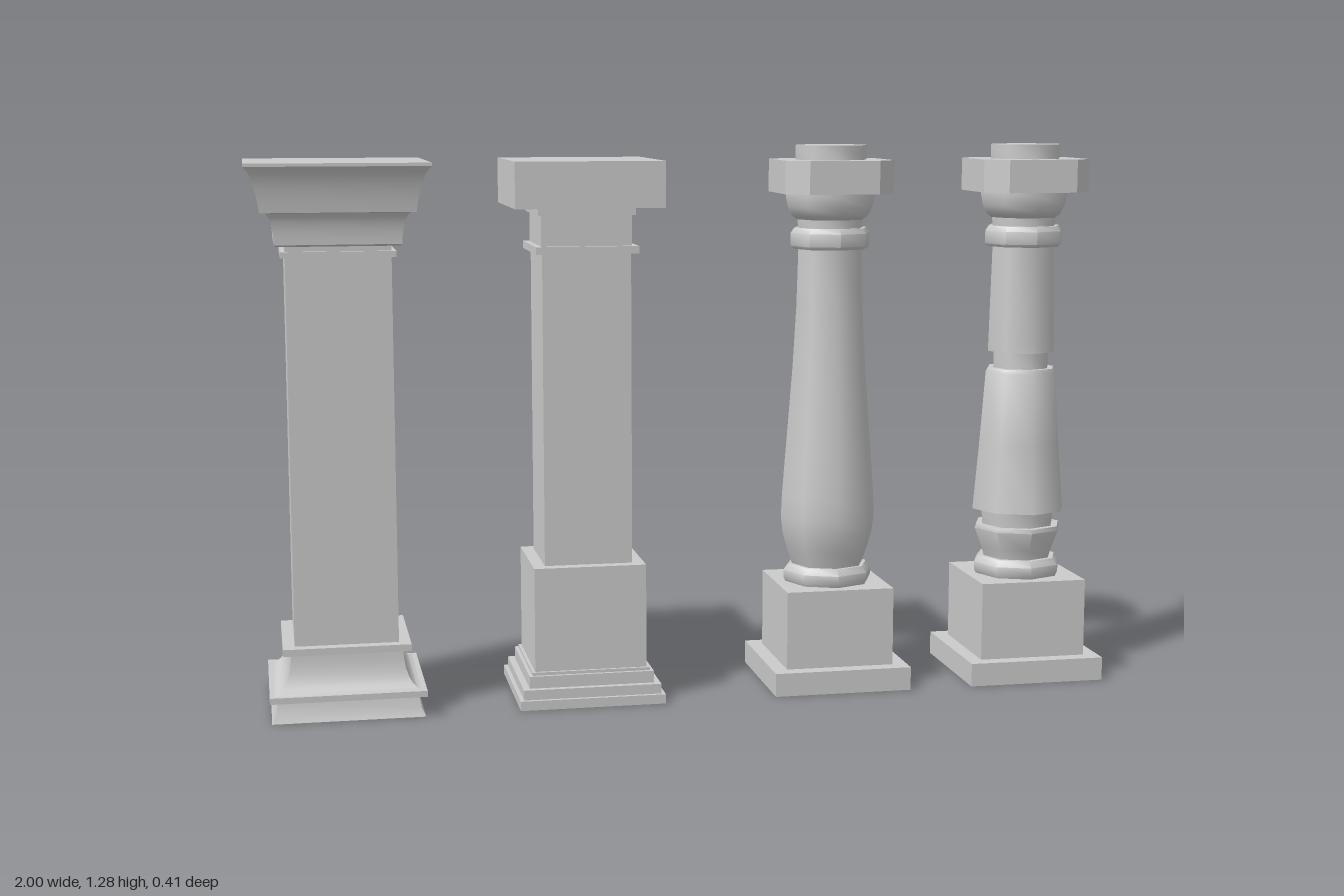
import * as THREE from 'three';
import { toCreasedNormals } from 'three/addons/utils/BufferGeometryUtils.js';

const material = new THREE.MeshStandardMaterial({ color: 0xcccccc });

function addMesh(parent, name, geometry, y = 0) {
  const mesh = new THREE.Mesh(geometry, material);
  mesh.name = name;
  mesh.position.y = y;
  parent.add(mesh);
}

// Closed solid swept from [half width, height] pairs, listed bottom to top.
function turned(parent, name, profile, sides) {
  const square = sides === 4;
  const k = square ? Math.SQRT2 : 1;
  const first = profile[0], last = profile[profile.length - 1];
  const points = [[0, first[1]], ...profile, [0, last[1]]].map(([r, y]) => new THREE.Vector2(r * k, y));
  const lathe = new THREE.LatheGeometry(points, sides, square ? Math.PI / 4 : 0);
  addMesh(parent, name, toCreasedNormals(lathe, square ? 0.5 : 0.9));
}

function block(parent, name, half, y0, y1) {
  addMesh(parent, name, new THREE.BoxGeometry(half * 2, y1 - y0, half * 2), (y0 + y1) / 2);
}

// Concave quarter curve between two profile points, vertical at the narrow end.
function cove(r0, y0, r1, y1, steps = 6) {
  const out = [];
  for (let i = 0; i <= steps; i++) {
    const a = (i / steps) * Math.PI / 2;
    const narrowFirst = r0 < r1;
    const u = narrowFirst ? 1 - Math.cos(a) : Math.sin(a);
    const v = narrowFirst ? Math.sin(a) : 1 - Math.cos(a);
    out.push([r0 + (r1 - r0) * u, y0 + (y1 - y0) * v]);
  }
  return out;
}

// Square pillar with coved base and flared capital
function flaredPillar() {
  const g = new THREE.Group();
  g.name = 'flaredPillar';
  turned(g, 'foot', [[0.172, 0], [0.163, 0.02], [0.158, 0.047]], 4);
  block(g, 'footFillet', 0.176, 0.047, 0.061);
  turned(g, 'baseCove', cove(0.165, 0.061, 0.126, 0.147), 4);
  block(g, 'baseFillet', 0.144, 0.147, 0.163);
  block(g, 'shaft', 0.117, 0.163, 1.07);
  block(g, 'neckFillet', 0.127, 1.04, 1.054);
  turned(g, 'capitalCove', [[0.135, 1.066], ...cove(0.14, 1.07, 0.162, 1.142)], 4);
  turned(g, 'capitalFlare', [[0.17, 1.142], [0.174, 1.17], [0.181, 1.2], [0.191, 1.228], [0.203, 1.243], [0.203, 1.25]], 4);
  return g;
}

// Square pillar with stepped base and plain block capital
function blockPillar() {
  const g = new THREE.Group();
  g.name = 'blockPillar';
  const tiers = [
    ['plinth', 0.169, 0, 0.022], ['lowerStep', 0.16, 0.022, 0.045],
    ['upperStep', 0.145, 0.045, 0.073], ['stepFillet', 0.137, 0.073, 0.08],
    ['pedestal', 0.13, 0.08, 0.322], ['shaft', 0.102, 0.322, 1.04],
    ['neckFillet', 0.118, 1.04, 1.057], ['neck', 0.104, 1.057, 1.127],
    ['capitalFillet', 0.112, 1.127, 1.145], ['capital', 0.17, 1.145, 1.25],
  ];
  for (const t of tiers) block(g, ...t);
  return g;
}

// Shared base and head of the two turned balusters, around a given body profile
function baluster(name, body) {
  const g = new THREE.Group();
  g.name = name;
  block(g, 'plinth', 0.164, 0, 0.055);
  block(g, 'pedestal', 0.129, 0.055, 0.24);
  turned(g, 'baseRing', [[0.103, 0.24], [0.108, 0.25], [0.108, 0.268], [0.096, 0.283]], 8);
  for (const [part, profile] of body) turned(g, part, profile, 8);
  turned(g, 'collar', [[0.09, 1.038], [0.096, 1.045], [0.096, 1.075], [0.088, 1.087]], 8);
  turned(g, 'neck', [[0.078, 1.08], [0.08, 1.115]], 8);
  turned(g, 'headBowl', [[0.082, 1.107], [0.094, 1.117], [0.103, 1.135], [0.108, 1.158], [0.108, 1.17]], 8);

  // Square head with cut corners
  const h = 0.13, c = 0.083;
  const outline = [[h, -c], [h, c], [c, h], [-c, h], [-h, c], [-h, -c], [-c, -h], [c, -h]];
  const shape = new THREE.Shape(outline.map(([x, y]) => new THREE.Vector2(x, y)));
  const head = new THREE.ExtrudeGeometry(shape, { depth: 0.077, bevelEnabled: false });
  head.rotateX(-Math.PI / 2);
  addMesh(g, 'head', head, 1.169);
  turned(g, 'topPeg', [[0.086, 1.246], [0.086, 1.28]], 8);
  return g;
}

export function createModel() {
  const model = new THREE.Group();
  model.name = 'pillarSet';

  const vase = baluster('vaseBaluster', [
    ['body', [[0.086, 0.28], [0.1, 0.32], [0.111, 0.36], [0.115, 0.4], [0.113, 0.45],
      [0.107, 0.53], [0.099, 0.63], [0.089, 0.76], [0.081, 0.9], [0.077, 1.04]]],
  ]);
  const banded = baluster('bandedBaluster', [
    ['lowerCup', [[0.083, 0.28], [0.09, 0.305], [0.108, 0.352], [0.105, 0.362]]],
    ['cupNeck', [[0.088, 0.355], [0.092, 0.4]]],
    ['lowerBody', [[0.115, 0.4], [0.101, 0.56], [0.088, 0.735], [0.083, 0.745]]],
    ['waist', [[0.069, 0.74], [0.069, 0.79]]],
    ['upperBody', [[0.083, 0.785], [0.083, 0.8], [0.077, 1.04]]],
  ]);

  const columns = [[flaredPillar(), -0.797], [blockPillar(), -0.24], [vase, 0.356], [banded, 0.835]];
  for (const [column, x] of columns) {
    column.position.x = x;
    model.add(column);
  }
  return model;
}
